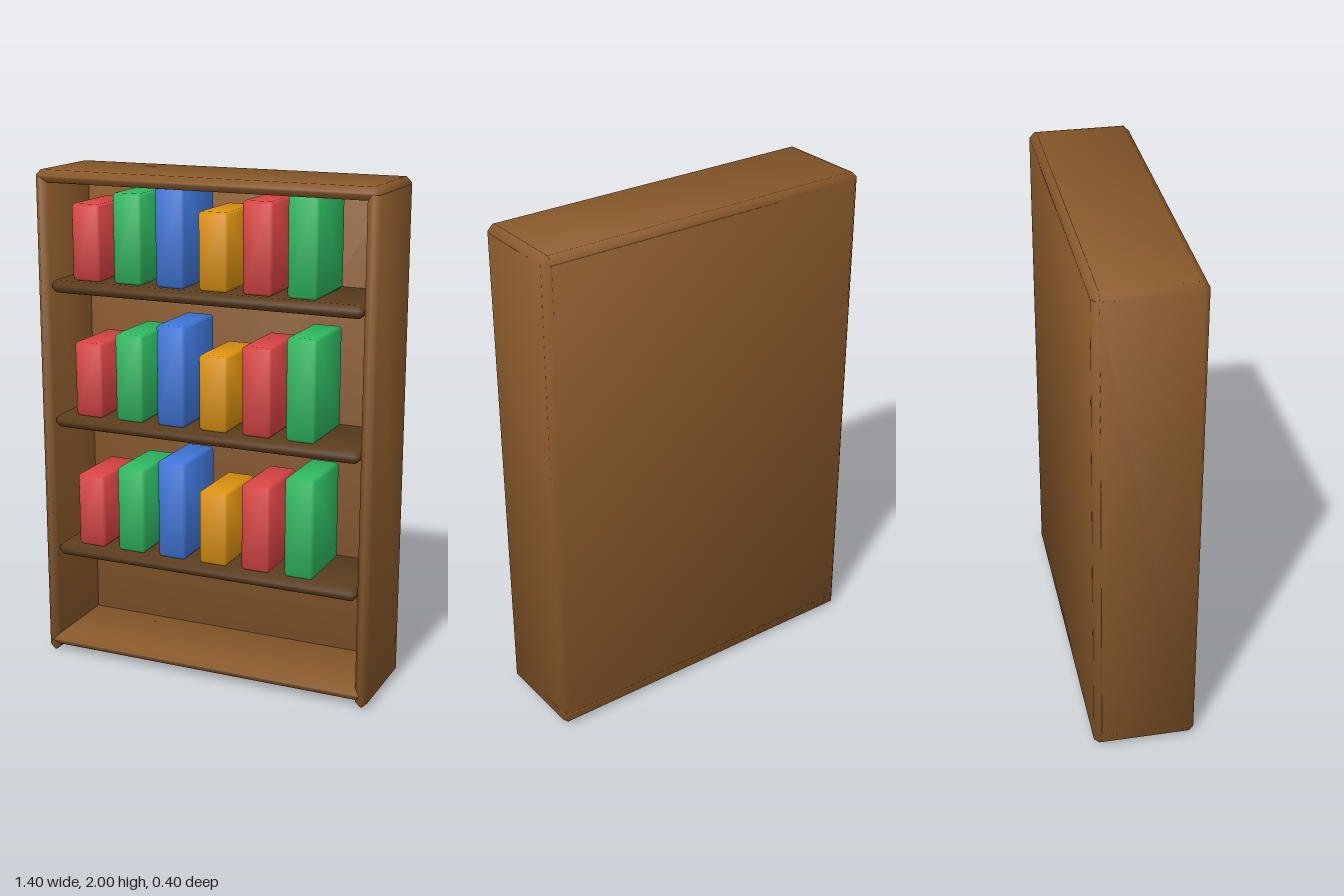
import * as THREE from 'three';

// Box with single chamfers and softly blended normals.
function chamferBox(w, h, d, bevel) {
  const half = [w / 2, h / 2, d / 2];
  const positions = [], normals = [], index = [];
  const sign = (corner, axis) => ((corner >> axis) & 1 ? 1 : -1);
  for (let c = 0; c < 8; c++) {
    for (let a = 0; a < 3; a++) {
      const n = new THREE.Vector3();
      for (let k = 0; k < 3; k++) {
        positions.push(sign(c, k) * (half[k] - (k === a ? 0 : bevel)));
        n.setComponent(k, sign(c, k) * (k === a ? 2.8 : 1.09));
      }
      normals.push(...n.normalize().toArray());
    }
  }
  // Adds a triangle or quad, turned to face away from the centre.
  const point = (i) => new THREE.Vector3().fromArray(positions, i * 3);
  const addFace = (ids) => {
    const [p, q, r] = ids.map(point);
    if (q.clone().sub(p).cross(r.clone().sub(p)).dot(p) < 0) ids.reverse();
    for (let i = 1; i < ids.length - 1; i++) index.push(ids[0], ids[i], ids[i + 1]);
  };
  for (let a = 0; a < 3; a++) {
    const u = 1 << ((a + 1) % 3), v = 1 << ((a + 2) % 3), s = 1 << a;
    // flat sides
    for (const base of [0, s]) {
      addFace([base, base + u, base + u + v, base + v].map((c) => c * 3 + a));
    }
    // chamfers running along this axis
    const b1 = (a + 1) % 3, b2 = (a + 2) % 3;
    for (const c of [0, u, v, u + v]) {
      addFace([c * 3 + b1, (c + s) * 3 + b1, (c + s) * 3 + b2, c * 3 + b2]);
    }
  }
  for (let c = 0; c < 8; c++) addFace([c * 3, c * 3 + 1, c * 3 + 2]);

  const geometry = new THREE.BufferGeometry();
  geometry.setAttribute('position', new THREE.Float32BufferAttribute(positions, 3));
  geometry.setAttribute('normal', new THREE.Float32BufferAttribute(normals, 3));
  geometry.setIndex(index);
  return geometry;
}

function material(name, color) {
  const m = new THREE.MeshStandardMaterial({ color });
  m.name = name;
  return m;
}

export function createModel() {
  const group = new THREE.Group();
  group.name = 'bookcase';

  const wood = material('brown wood', 0x8b5a2b);
  const darkWood = material('dark wood', 0x5c3d1e);
  const red = material('red cover', 0xdc4545);
  const green = material('green cover', 0x2fbb62);
  const blue = material('blue cover', 0x4078dc);
  const orange = material('orange cover', 0xe09410);

  function addBox(parent, name, size, position, mat, bevel) {
    const mesh = new THREE.Mesh(chamferBox(...size, bevel), mat);
    mesh.name = name;
    mesh.position.set(...position);
    parent.add(mesh);
  }

  // Case
  addBox(group, 'leftSide', [0.05, 2, 0.4], [0.675, 1, 0], wood, 0.022);
  addBox(group, 'rightSide', [0.05, 2, 0.4], [-0.675, 1, 0], wood, 0.022);
  addBox(group, 'topPanel', [1.4, 0.05, 0.4], [0, 1.975, 0], wood, 0.022);
  addBox(group, 'bottomPanel', [1.4, 0.05, 0.4], [0, 0.053, 0], wood, 0.022);
  addBox(group, 'backPanel', [1.4, 2, 0.05], [0, 1, -0.175], wood, 0.022);

  // Shelves, each with a row of books
  const covers = [red, green, blue, orange, red, green];
  const heights = [0.3, 0.35, 0.4, 0.3, 0.35, 0.4];
  [0.455, 1.0, 1.547].forEach((y, row) => {
    addBox(group, `shelf${row + 1}`, [1.29, 0.05, 0.36], [0, y, 0.01], darkWood, 0.018);
    const books = new THREE.Group();
    books.name = `bookRow${row + 1}`;
    covers.forEach((cover, i) => {
      const h = heights[i];
      addBox(books, `book${i + 1}`, [0.12, h, 0.28],
        [-0.5 + 0.18 * i, y + 0.026 + h / 2, 0.02], cover, 0.01);
    });
    group.add(books);
  });

  return group;
}
